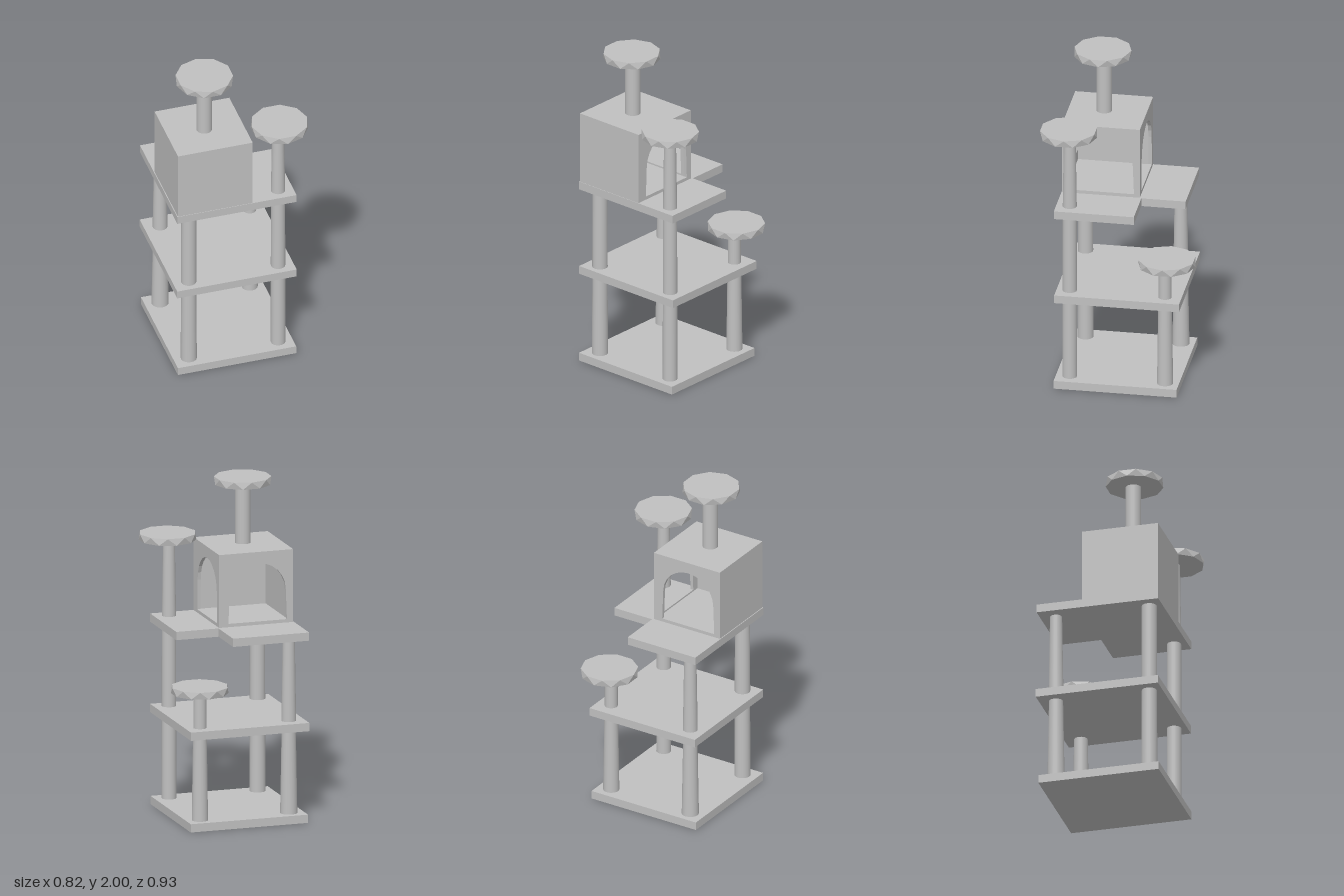
import * as THREE from 'three';

export function createModel() {
  const model = new THREE.Group();
  model.name = 'catTree';
  const carpet = new THREE.MeshStandardMaterial({ color: 0xc0c0c0 });
  carpet.name = 'grey carpet';

  const add = (name, geometry, x = 0, y = 0, z = 0, parent = model) => {
    const mesh = new THREE.Mesh(geometry, carpet);
    mesh.name = name;
    mesh.position.set(x, y, z);
    parent.add(mesh);
    return mesh;
  };

  // Box given by its limits on each axis
  const slab = (name, x0, x1, y0, y1, z0, z1, parent) =>
    add(name, new THREE.BoxGeometry(x1 - x0, y1 - y0, z1 - z0),
      (x0 + x1) / 2, (y0 + y1) / 2, (z0 + z1) / 2, parent);

  // Slightly tapered round post between two heights
  const post = (name, x, z, y0, y1, rBottom, rTop) =>
    add(name, new THREE.CylinderGeometry(rTop, rBottom, y1 - y0, 20), x, (y0 + y1) / 2, z);

  // Ten-sided perch whose lower rim is turned half a side from the upper one
  const perch = (name, x, y, z, turn) => {
    const g = new THREE.CylinderGeometry(0.17, 0.17, 0.042, 10).toNonIndexed();
    const p = g.attributes.position;
    const v = new THREE.Vector3();
    const up = new THREE.Vector3(0, 1, 0);
    for (let i = 0; i < p.count; i++) {
      v.fromBufferAttribute(p, i);
      if (v.y < 0) v.applyAxisAngle(up, Math.PI / 10);
      p.setXYZ(i, v.x, v.y, v.z);
    }
    g.computeVertexNormals();
    add(name, g, x, y, z).rotation.y = turn;
  };

  // Base and middle shelf
  slab('base', -0.41, 0.32, 0, 0.05, -0.365, 0.37);
  slab('middleShelf', -0.413, 0.324, 0.56, 0.61, -0.38, 0.366);

  // Upper shelf with its back corner cut away
  const outline = new THREE.Shape([
    [-0.413, -0.368], [0.323, -0.368], [0.323, 0.11],
    [0.06, 0.11], [0.06, 0.375], [-0.413, 0.375],
  ].map(([x, y]) => new THREE.Vector2(x, y)));
  const upper = new THREE.ExtrudeGeometry(outline, { depth: 0.05, bevelEnabled: false });
  upper.rotateX(-Math.PI / 2);
  add('upperShelf', upper, 0, 1.108, 0);

  // Posts
  post('frontRightLowerPost', -0.318, 0.288, 0.05, 0.56, 0.048, 0.045);
  post('frontRightUpperPost', -0.318, 0.288, 0.61, 1.108, 0.046, 0.045);
  post('frontLeftLowerPost', 0.233, 0.288, 0.05, 0.56, 0.044, 0.043);
  post('frontLeftMiddlePost', 0.233, 0.288, 0.61, 1.108, 0.043, 0.042);
  post('frontLeftTopPost', 0.233, 0.288, 1.158, 1.62, 0.042, 0.035);
  post('backRightLowerPost', -0.318, -0.282, 0.05, 0.56, 0.051, 0.042);
  post('backRightUpperPost', -0.318, -0.282, 0.61, 1.108, 0.044, 0.036);
  post('backLeftLowerPost', 0.235, -0.282, 0.05, 0.56, 0.048, 0.041);
  post('backLeftUpperPost', 0.235, -0.282, 0.61, 0.83, 0.039, 0.038);
  post('housePost', -0.18, 0.152, 1.6, 1.96, 0.046, 0.046);

  // Round perches
  const half = Math.PI / 10;
  perch('frontLeftPerch', 0.24, 1.64, 0.294, half);
  perch('backLeftPerch', 0.24, 0.845, -0.294, half);
  perch('topPerch', -0.182, 1.979, 0.16, 0);

  // Hollow house with arched doorways at the back and left
  const house = new THREE.Group();
  house.name = 'house';
  model.add(house);
  const t = 0.02, y0 = 1.158, y1 = 1.6;
  const x0 = -0.408, x1 = 0.053, z0 = -0.1, z1 = 0.365;

  const archedWall = (name, u0, u1, centre) => {
    const s = new THREE.Shape();
    s.moveTo(u0, y0);
    s.lineTo(u1, y0);
    s.lineTo(u1, y1);
    s.lineTo(u0, y1);
    s.closePath();
    const door = new THREE.Path();
    door.moveTo(centre - 0.182, 1.178);
    door.lineTo(centre - 0.175, 1.36);
    door.absellipse(centre, 1.36, 0.175, 0.172, Math.PI, 0, true);
    door.lineTo(centre + 0.182, 1.178);
    door.closePath();
    s.holes.push(door);
    return add(name, new THREE.ExtrudeGeometry(s, { depth: t, bevelEnabled: false, curveSegments: 6 }),
      0, 0, 0, house);
  };

  slab('houseFront', x0, x1, y0, y1, z1 - t, z1, house);
  slab('houseRightWall', x0, x0 + t, y0, y1, z0 + t, z1 - t, house);
  slab('houseRoof', x0 + t, x1 - t, y1 - t, y1, z0 + t, z1 - t, house);
  slab('houseFloor', x0 + t, x1 - t, y0, y0 + 0.01, z0 + t, z1 - t, house);
  archedWall('houseBack', x0, x1, -0.187).position.z = z0;
  // The left wall is drawn along -z, then turned to face +x
  const left = archedWall('houseLeftWall', -z1 + t, -z0 - t, -0.117);
  left.rotation.y = Math.PI / 2;
  left.position.x = x1 - t;

  return model;
}
